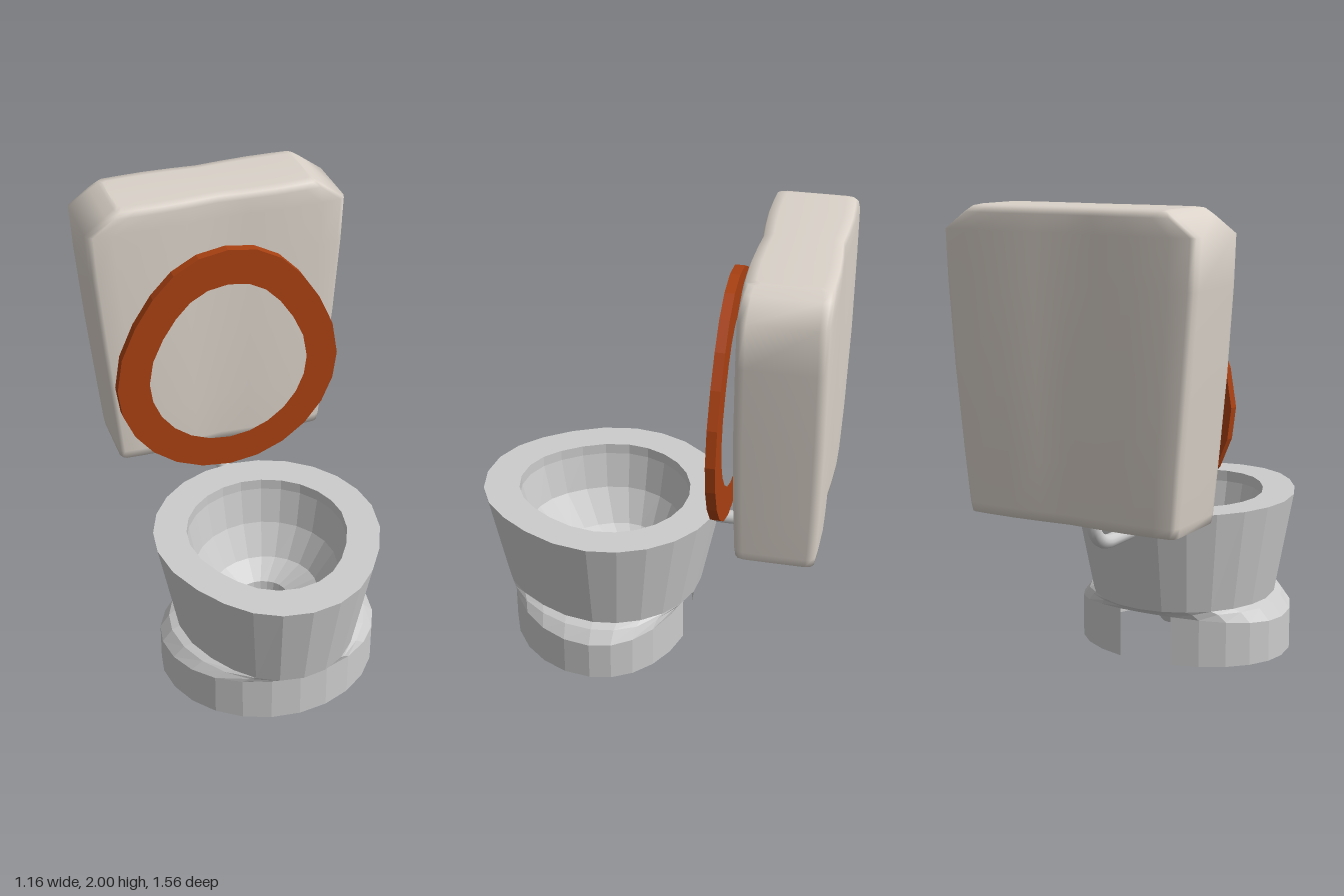
import * as THREE from 'three';

const SIDES = 24;

// Egg outline: half width w, spanning back..front along t, widest at mid.
// A larger point value makes the front end narrower.
function egg(w, back, mid, front, point = 0.06) {
  const pts = [];
  for (let i = 0; i < SIDES; i++) {
    const a = (i / SIDES) * Math.PI * 2, c = Math.cos(a);
    const pinch = c > 0 ? 1 - point * Math.sin(2 * a) ** 2 : 1;
    pts.push([w * Math.sin(a) * pinch, mid + c * (c > 0 ? front - mid : mid - back)]);
  }
  return pts;
}

// Horizontal ring from an egg outline; y is a number or a function of the index
const ring = (y, ...e) => egg(...e).map(([x, z], i) => [x, typeof y === 'function' ? y(i) : y, z]);

// Skin closed rings together, optionally leaving out some columns
function loft(rings, skip = []) {
  const n = rings[0].length, index = [];
  for (let r = 0; r < rings.length - 1; r++) {
    for (let j = 0; j < n; j++) {
      if (skip.includes(j)) continue;
      const k = (j + 1) % n, a = r * n + j, b = r * n + k;
      index.push(a, b, b + n, a, b + n, a + n);
    }
  }
  const g = new THREE.BufferGeometry();
  g.setAttribute('position', new THREE.Float32BufferAttribute(rings.flat(2), 3));
  g.setIndex(index);
  g.computeVertexNormals();
  return g;
}

// One horizontal section of the cistern, pinched at the middle of front and back
function tankRing(y, w, d) {
  const half = [[1, 0.75], [0.985, 0.89], [0.95, 0.96], [0.8, 0.985], [0.53, 1], [0.25, 0.97]];
  const front = [...half.map(([x, z]) => [-x, z]), [0, 0.92], ...half.slice().reverse()];
  const back = front.map(([x, z]) => [-x, -z]);
  return [...front, ...back].map(([x, z]) => [x * w, y, -0.595 + z * d]);
}

export function createModel() {
  const group = new THREE.Group();
  const ceramic = new THREE.MeshStandardMaterial({ color: 0xcccccc, flatShading: true, side: THREE.DoubleSide });
  const smoothGrey = new THREE.MeshStandardMaterial({ color: 0xcccccc, side: THREE.DoubleSide });
  const tankMat = new THREE.MeshStandardMaterial({ color: 0xdad2c9 });
  const seatMat = new THREE.MeshStandardMaterial({ color: 0xa84012 });
  const add = (name, geometry, material) => {
    const m = new THREE.Mesh(geometry, material);
    m.name = name;
    group.add(m);
    return m;
  };

  // Bowl: outer wall and flat rim
  add('bowl', loft([
    ring(0.25, 0.41, -0.21, 0.2, 0.69),
    ring(0.7, 0.495, -0.3, 0.2, 0.78),
    ring(0.7, 0.35, -0.15, 0.2, 0.62),
  ]), ceramic);

  // Basin: lip, sloping inside and rounded drain well
  add('basin', loft([
    ring(0.7, 0.35, -0.15, 0.2, 0.62),
    ring(0.65, 0.35, -0.15, 0.2, 0.62),
    ring(0.48, 0.32, -0.12, 0.2, 0.58),
    ring(0.33, 0.24, -0.05, 0.18, 0.46),
    ring(0.25, 0.12, 0.03, 0.14, 0.28),
    ring(0.16, 0.11, 0.035, 0.14, 0.265),
    ring(0.11, 0.07, 0.07, 0.14, 0.21),
    ring(0.1, 0.001, 0.139, 0.14, 0.141),
  ]), ceramic);

  // Foot: shoulder dips at the sides, wall has an opening at the back
  const topY = (i) => 0.22 - 0.04 * Math.sin((i / SIDES) * Math.PI * 2) ** 2;
  const foot = [0.49, -0.165, 0.2, 0.65, 0];
  add('footShoulder', loft([
    ring(topY, ...foot),
    ring(0.235, 0.445, -0.185, 0.2, 0.67, 0.03),
    ring(0.25, 0.41, -0.21, 0.2, 0.69),
  ]), ceramic);
  add('footWall', loft([ring(0, ...foot), ring(topY, ...foot)], [SIDES / 2 - 1, SIDES / 2]), ceramic);

  // Raised seat
  const shape = new THREE.Shape(egg(0.51, 0.7, 1.2, 1.81, 0.07).map((p) => new THREE.Vector2(...p)));
  shape.holes.push(new THREE.Path(egg(0.365, 0.85, 1.21, 1.645, 0.08).map((p) => new THREE.Vector2(...p))));
  const seat = add('seat', new THREE.ExtrudeGeometry(shape, { depth: 0.042, bevelEnabled: false }), seatMat);
  seat.position.z = -0.347;

  // Cistern: [height, half width, half depth]
  const sections = [
    [0.75, 0.46, 0], [0.75, 0.465, 0.13], [0.75, 0.48, 0.17], [0.79, 0.487, 0.175],
    [1.0, 0.507, 0.182], [1.35, 0.54, 0.187], [1.7, 0.568, 0.184], [1.9, 0.578, 0.181],
    [1.97, 0.482, 0.179], [1.995, 0.445, 0.17], [2.0, 0.43, 0.13], [2.0, 0.43, 0],
  ];
  add('cistern', loft(sections.map((s) => tankRing(...s))), tankMat);

  // Flush pipe: straight run, then a quarter bend up into the cistern
  const path = new THREE.CurvePath();
  const v = (y, z) => new THREE.Vector3(0, y, z);
  path.add(new THREE.LineCurve3(v(0.612, -0.24), v(0.612, -0.44)));
  path.add(new THREE.CubicBezierCurve3(v(0.612, -0.44), v(0.612, -0.52), v(0.66, -0.575), v(0.73, -0.575)));
  path.add(new THREE.LineCurve3(v(0.73, -0.575), v(0.78, -0.575)));
  add('flushPipe', new THREE.TubeGeometry(path, 24, 0.03, 12), smoothGrey);

  return group;
}
